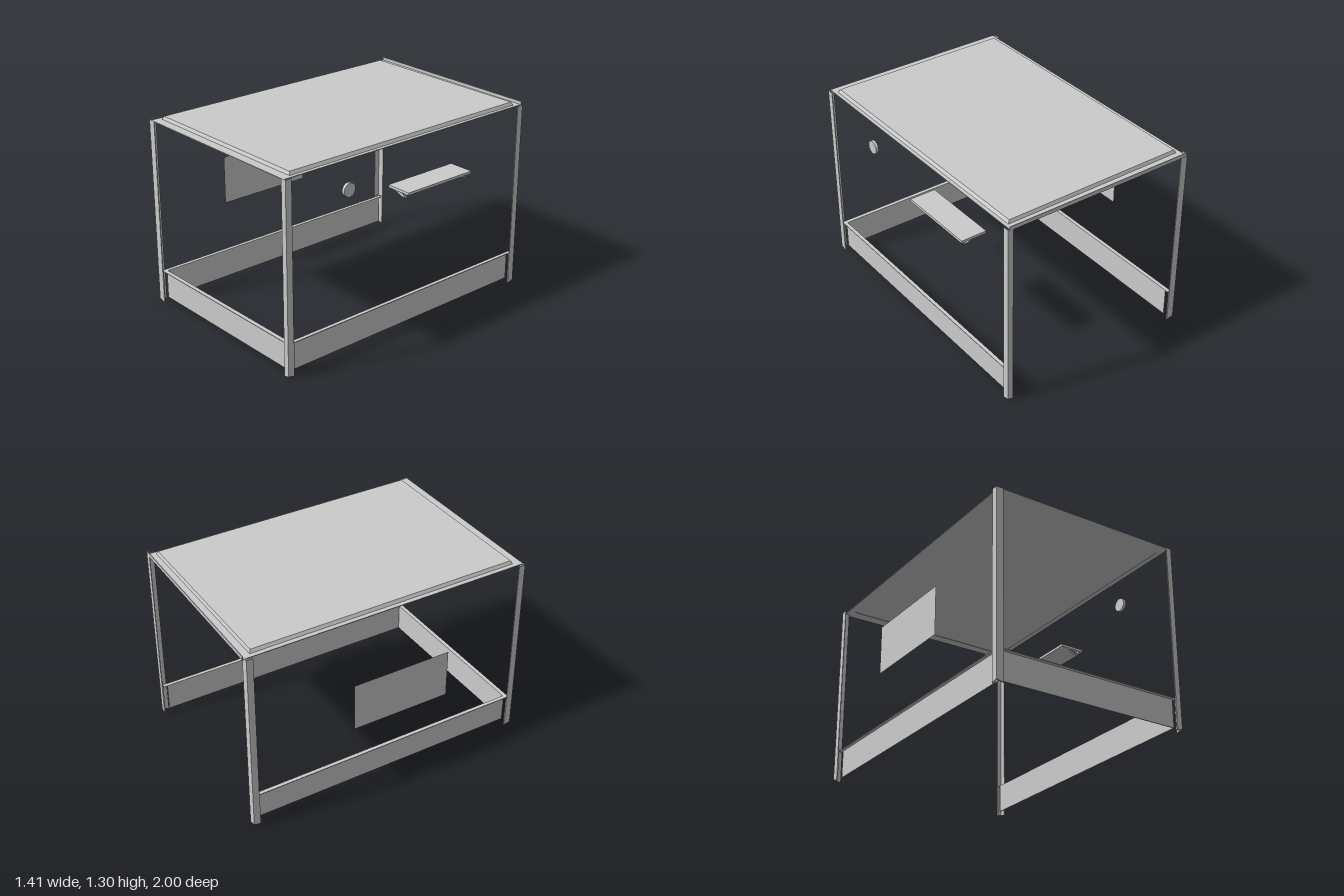
import * as THREE from 'three';

const material = new THREE.MeshStandardMaterial({ color: 0xcccccc, flatShading: true, side: THREE.DoubleSide });

function add(parent, name, geometry) {
  const mesh = new THREE.Mesh(geometry, material);
  mesh.name = name;
  parent.add(mesh);
  return mesh;
}

// Box given by its minimum and maximum corners
function span(x0, x1, y0, y1, z0, z1) {
  return new THREE.BoxGeometry(x1 - x0, y1 - y0, z1 - z0)
    .translate((x0 + x1) / 2, (y0 + y1) / 2, (z0 + z1) / 2);
}

// Moves every vertex by a rule
function reshape(geometry, rule) {
  const p = geometry.attributes.position;
  const v = new THREE.Vector3();
  for (let i = 0; i < p.count; i++) {
    v.fromBufferAttribute(p, i);
    rule(v);
    p.setXYZ(i, v.x, v.y, v.z);
  }
  geometry.computeVertexNormals();
  return geometry;
}

// Corner angle: two thin wings meeting at the outer corner (cx, cz)
function cornerAngle(parent, name, cx, cz, wx, wz, y0, y1, t, slant) {
  const sx = Math.sign(cx), sz = Math.sign(cz);
  const group = new THREE.Group();
  group.name = name;
  const wing = (dx, dz) => {
    const x = [cx, cx - sx * dx].sort((a, b) => a - b);
    const z = [cz, cz - sz * dz].sort((a, b) => a - b);
    return reshape(span(x[0], x[1], y0, y1, z[0], z[1]), v => {
      if (v.y < (y0 + y1) / 2) {
        const inward = Math.max(Math.abs(v.x - cx) / wx, Math.abs(v.z - cz) / wz);
        v.y += slant * (1 - inward);
      }
    });
  };
  add(group, name + 'FrontWing', wing(wx, t));
  add(group, name + 'SideWing', wing(t, wz));
  parent.add(group);
}

export function createModel() {
  const model = new THREE.Group();
  model.name = 'openBooth';

  // Corner posts with base guards
  for (const [side, cx, wx] of [['right', -0.655, 0.05], ['left', 0.705, 0.038]]) {
    for (const [end, cz] of [['front', 1.0], ['back', -0.985]]) {
      const name = end + (side === 'left' ? 'Left' : 'Right');
      cornerAngle(model, name + 'Post', cx, cz, wx, 0.045, 0.2, 1.275, 0.005, 0);
      cornerAngle(model, name + 'Guard', cx, cz, wx, 0.047, 0, 0.22, 0.009, 0.012);
    }
  }

  // Skirt boards on three sides, each with a thin outward top rail
  const skirts = new THREE.Group();
  skirts.name = 'skirts';
  model.add(skirts);
  add(skirts, 'frontSkirt', span(-0.61, 0.67, 0.025, 0.22, 0.957, 0.963));
  add(skirts, 'frontSkirtRail', span(-0.63, 0.69, 0.215, 0.22, 0.957, 0.985));
  add(skirts, 'leftSkirt', span(0.667, 0.673, 0.025, 0.22, -0.945, 0.96));
  add(skirts, 'leftSkirtRail', span(0.667, 0.692, 0.215, 0.22, -0.97, 0.985));
  add(skirts, 'rightSkirt', span(-0.614, -0.608, 0.025, 0.22, -0.945, 0.96));
  add(skirts, 'rightSkirtRail', span(-0.634, -0.608, 0.215, 0.22, -0.97, 0.985));

  // Roof: flat ledge, bevelled deck and an upright lip at the back
  const ledge = new THREE.Shape([[-0.635, -1], [0.69, -0.987], [0.69, 1], [-0.635, 1]]
    .map(([x, z]) => new THREE.Vector2(x, z)));
  ledge.holes.push(new THREE.Path([[-0.59, -0.92], [-0.59, 0.92], [0.655, 0.92], [0.655, -0.92]]
    .map(([x, z]) => new THREE.Vector2(x, z))));
  add(model, 'roofLedge', new THREE.ExtrudeGeometry(ledge, { depth: 0.005, bevelEnabled: false })
    .rotateX(Math.PI / 2).translate(0, 1.276, 0));
  add(model, 'roofDeck', reshape(span(-0.606, 0.668, 1.274, 1.297, -0.937, 0.94), v => {
    if (v.y > 1.28) {
      v.x -= Math.sign(v.x) * 0.013;
      v.z -= Math.sign(v.z) * 0.01;
    }
  }));
  const lip = add(model, 'backLip', new THREE.BoxGeometry(1.33, 0.026, 0.005));
  lip.position.set(0.03, 1.284, -0.991);
  lip.rotation.y = -0.009;

  // Shelf with two curved brackets
  const shelf = new THREE.Group();
  shelf.name = 'shelf';
  model.add(shelf);
  add(shelf, 'shelfBoard', span(0.525, 0.705, 0.917, 0.935, -0.522, 0.035));
  const arm = new THREE.Shape();
  arm.moveTo(0.585, 0.918);
  arm.quadraticCurveTo(0.62, 0.893, 0.672, 0.888);
  arm.lineTo(0.672, 0.918);
  arm.lineTo(0.666, 0.918);
  arm.lineTo(0.666, 0.893);
  arm.quadraticCurveTo(0.625, 0.898, 0.595, 0.918);
  for (const z of [0.015, -0.507]) {
    add(shelf, 'shelfBracket', new THREE.ExtrudeGeometry(arm,
      { depth: 0.02, bevelEnabled: false, curveSegments: 8 }).translate(0, 0, z));
  }

  // Round disc beside the shelf
  add(model, 'roundDisc', new THREE.CylinderGeometry(0.045, 0.045, 0.02, 32).rotateZ(Math.PI / 2))
    .position.set(0.677, 1.075, 0.5);

  // Thin rectangular panel on the opposite side
  add(model, 'sidePanel', new THREE.PlaneGeometry(0.69, 0.335).rotateY(-Math.PI / 2))
    .position.set(-0.705, 0.687, 0.055);

  return model;
}
